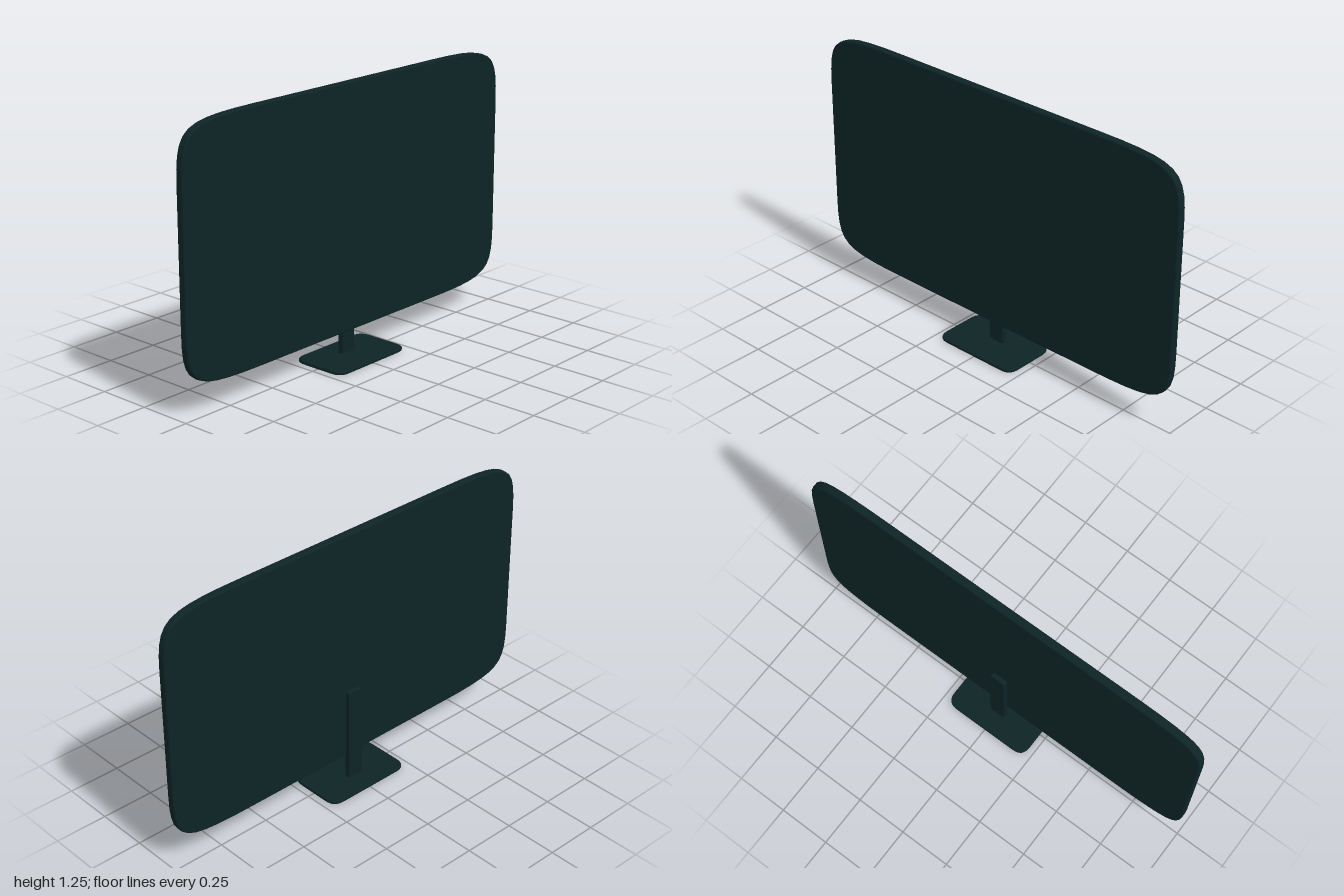
import * as THREE from 'three';

// Rounded plate centred on the origin; rx, ry are the corner extents, k the corner fullness
function plate(w, h, depth, rx, ry, k, bevel, segments) {
  const x = w / 2, y = h / 2;
  const shape = new THREE.Shape();
  const cx = x - rx * (1 - k), cy = y - ry * (1 - k);
  shape.moveTo(x - rx, -y);
  shape.bezierCurveTo(cx, -y, x, -cy, x, -y + ry);
  shape.lineTo(x, y - ry);
  shape.bezierCurveTo(x, cy, cx, y, x - rx, y);
  shape.lineTo(-x + rx, y);
  shape.bezierCurveTo(-cx, y, -x, cy, -x, y - ry);
  shape.lineTo(-x, -y + ry);
  shape.bezierCurveTo(-x, -cy, -cx, -y, -x + rx, -y);
  const geometry = new THREE.ExtrudeGeometry(shape, {
    depth: depth - 2 * bevel, curveSegments: segments,
    bevelEnabled: true, bevelThickness: bevel, bevelSize: bevel, bevelOffset: -bevel, bevelSegments: 3,
  });
  return geometry.translate(0, 0, bevel - depth / 2);
}

export function createModel() {
  const group = new THREE.Group();
  const casing = new THREE.MeshStandardMaterial({ name: 'dark teal casing', color: 0x0e2425 });

  const add = (name, geometry, x, y, z) => {
    const mesh = new THREE.Mesh(geometry, casing);
    mesh.name = name;
    mesh.position.set(x, y, z);
    group.add(mesh);
  };

  // Wide thin panel with soft, stretched corners
  add('screenPanel', plate(2, 1.12, 0.038, 0.43, 0.25, 0.91, 0.008, 10), 0, 0.69, 0.001);

  // Upright strip behind the panel
  add('standPost', plate(0.08, 0.465, 0.027, 0.012, 0.012, 0.6, 0.004, 4), 0, 0.2425, -0.0265);

  // Flat foot with rounded corners
  const foot = plate(0.44, 0.274, 0.016, 0.06, 0.06, 0.7, 0.005, 8).rotateX(-Math.PI / 2);
  add('standBase', foot, 0, 0.008, 0);

  return group;
}
